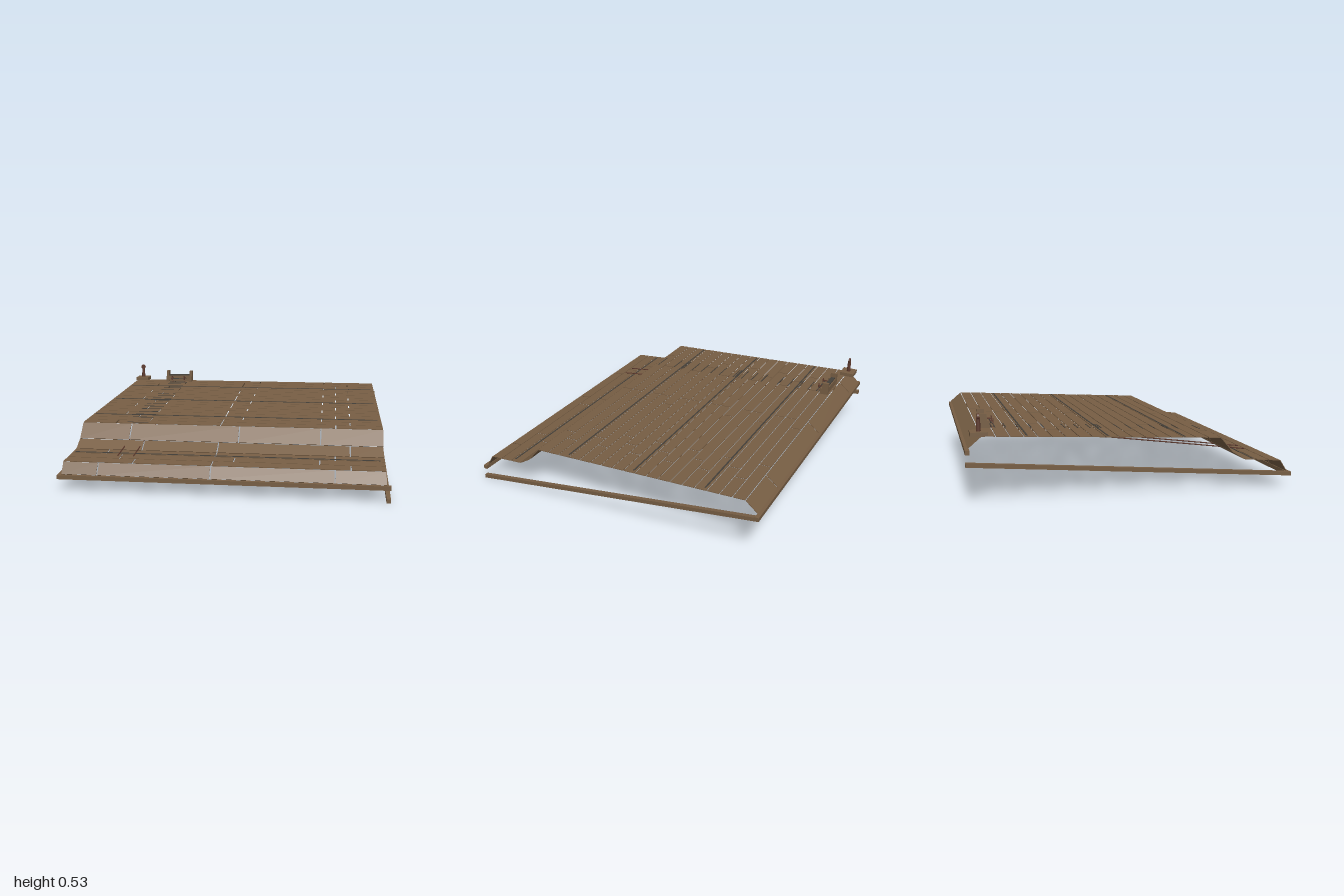
import * as THREE from 'three';

const mat = (name, color) => Object.assign(new THREE.MeshStandardMaterial({ color }), { name });

export function createModel() {
  const wood = mat('weathered wood', 0x775e44);
  const iron = mat('dark iron', 0x44403a);
  const rust = mat('rusty iron', 0x5e3a2e);
  const root = new THREE.Group();
  root.name = 'deck';

  const add = (parent, name, geo, material, x, y, z) => {
    const m = new THREE.Mesh(geo, material);
    m.name = name;
    m.position.set(x, y, z);
    parent.add(m);
    return m;
  };
  const box = (parent, name, material, w, h, d, x, y, z) =>
    add(parent, name, new THREE.BoxGeometry(w, h, d), material, x, y, z);
  const group = (name) => {
    const g = new THREE.Group();
    g.name = name;
    root.add(g);
    return g;
  };

  // Deck section as [z, y] points, and its height at any z
  const profile = [[-0.985, 0.337], [-0.905, 0.405], [0.535, 0.333], [0.615, 0.24],
    [0.695, 0.191], [0.935, 0.171], [0.98, 0.1]];
  const heightAt = (z) => {
    let i = 0;
    while (i < profile.length - 2 && z > profile[i + 1][0]) i++;
    const [z0, y0] = profile[i], [z1, y1] = profile[i + 1];
    return y0 + (y1 - y0) * (z - z0) / (z1 - z0);
  };
  const slopeAt = (z) => -Math.atan2(heightAt(z + 0.002) - heightAt(z - 0.002), 0.004);

  // Planks: 25 rows with three staggered joint patterns
  const planks = group('planks');
  const joints = [[-0.755, -0.062, 0.677], [-0.647, 0.064, 0.584], [-0.545, -0.062, 0.77]];
  for (let row = 0; row < 25; row++) {
    const z0 = -0.985 + row * 0.08;
    const z1 = Math.min(z0 + 0.08, 0.98);
    const y0 = heightAt(z0), y1 = heightAt(z1);
    const length = Math.hypot(z1 - z0, y1 - y0) - 0.006;
    const ends = [-0.98, ...joints[row % 3], 0.978];
    for (let i = 0; i < ends.length - 1; i++) {
      const w = ends[i + 1] - ends[i] - 0.008;
      const p = box(planks, 'plank', wood, w, 0.004, length,
        (ends[i] + ends[i + 1]) / 2, (y0 + y1) / 2, (z0 + z1) / 2);
      p.rotation.x = -Math.atan2(y1 - y0, z1 - z0);
    }
  }

  // Frame beams: level ones front and back, sheared ones at the sides
  const frame = group('frame');
  box(frame, 'frontBeam', wood, 2, 0.025, 0.025, 0, 0.0875, 0.9875);
  box(frame, 'backBeam', wood, 2, 0.025, 0.025, 0, 0.3175, -0.9875);
  const sideBeam = (name, x, yFront, yBack) => {
    const geo = new THREE.BoxGeometry(0.025, 0.025, 2);
    const p = geo.attributes.position;
    for (let i = 0; i < p.count; i++) {
      p.setY(i, p.getY(i) + (p.getZ(i) > 0 ? yFront : yBack));
    }
    geo.computeVertexNormals();
    add(frame, name, geo, wood, x, 0, 0);
  };
  sideBeam('leftBeam', 0.9875, 0.0125, 0.3175);
  sideBeam('rightBeam', -0.9875, 0.0875, 0.2475);

  // Thin iron straps across the deck
  const straps = group('straps');
  for (const z of [-0.645, -0.165, 0.31, 0.757]) {
    const s = box(straps, 'strap', iron, 1.91, 0.003, 0.01, -0.005, heightAt(z) + 0.0025, z);
    s.rotation.x = slopeAt(z);
  }

  // Narrow rungs laid along the deck
  const ladder = group('ladder');
  for (const z of [-0.818, -0.8, -0.735, -0.66, -0.58, -0.5, -0.37, -0.29, -0.21, -0.155,
    -0.14, -0.025, 0.05, 0.13, 0.21, 0.29, 0.302, 0.37, 0.51]) {
    const r = box(ladder, 'rung', iron, 0.14, 0.003, 0.006, -0.615, heightAt(z) + 0.0025, z);
    r.rotation.x = slopeAt(z);
  }

  // Two taut cables running from the winch, under the deck and out at the front
  const cables = group('cables');
  for (const x of [-0.665, -0.565]) {
    const path = new THREE.LineCurve3(new THREE.Vector3(x, 0.405, -0.85),
      new THREE.Vector3(x, 0.188, 0.835));
    add(cables, 'cable', new THREE.TubeGeometry(path, 1, 0.004, 6), rust, 0, 0, 0);
  }
  box(cables, 'cableBar', rust, 0.1, 0.005, 0.005, -0.615, 0.168, 0.76);

  // Winch stand: two posts, boards and hooks
  const winch = group('winch');
  for (const x of [-0.71, -0.518]) {
    box(winch, 'winchPost', wood, 0.02, 0.088, 0.045, x, 0.447, -0.872);
    box(winch, 'winchFoot', wood, 0.02, 0.045, 0.02, x, 0.425, -0.843);
  }
  box(winch, 'winchBoard', wood, 0.18, 0.045, 0.042, -0.614, 0.428, -0.869);
  box(winch, 'winchPlate', iron, 0.18, 0.008, 0.03, -0.614, 0.456, -0.869);
  for (const x of [-0.665, -0.565]) {
    box(winch, 'hookArm', rust, 0.007, 0.007, 0.045, x, 0.438, -0.828);
    box(winch, 'hookTip', rust, 0.009, 0.032, 0.006, x, 0.438, -0.808);
  }
  box(winch, 'hookBar', iron, 0.13, 0.006, 0.006, -0.615, 0.43, -0.82);

  // Mooring post on a square base, with a flat round knob
  const post = group('mooringPost');
  box(post, 'postBase', wood, 0.1, 0.025, 0.1, -0.935, 0.416, -0.918);
  add(post, 'postShaft', new THREE.CylinderGeometry(0.011, 0.014, 0.08, 8), rust, -0.935, 0.467, -0.918);
  const knob = add(post, 'postKnob', new THREE.CylinderGeometry(0.018, 0.018, 0.01, 12), rust,
    -0.935, 0.512, -0.918);
  knob.rotation.x = Math.PI / 2;

  return root;
}
